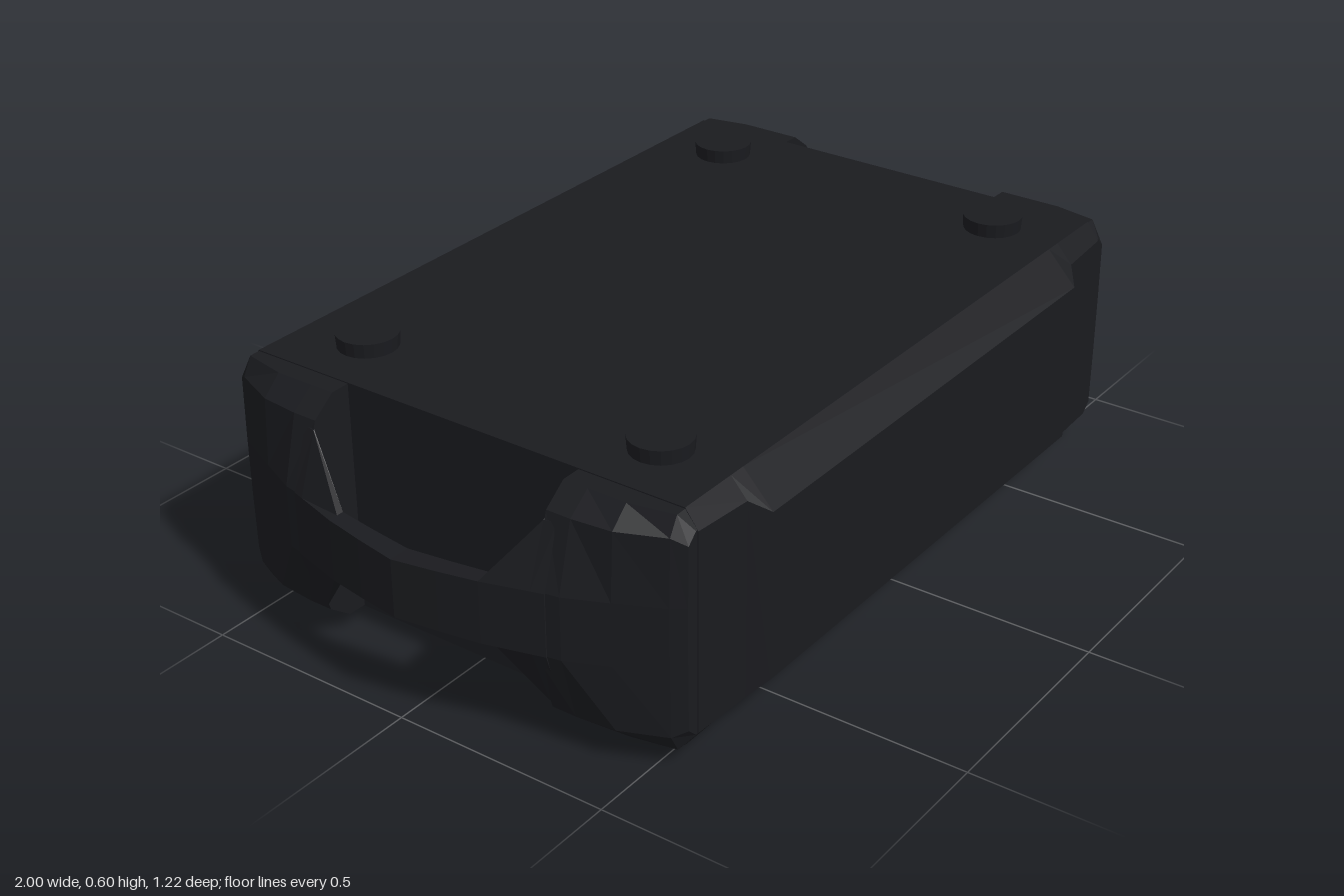
import * as THREE from 'three';

const MID = 0.303; // height of the horizontal symmetry plane
const mat = new THREE.MeshStandardMaterial({ color: 0x1a1b1f, flatShading: true });

// Closed solid through equal-length rings of [x, y, z], wound outward
function loft(rings) {
  const n = rings[0].length, pos = [];
  let volume = 0;
  const a = new THREE.Vector3(), b = new THREE.Vector3(), c = new THREE.Vector3();
  const tri = (p, q, r) => {
    pos.push(...p, ...q, ...r);
    volume += a.set(...p).dot(b.set(...q).cross(c.set(...r)));
  };
  for (let i = 0; i < rings.length - 1; i++) {
    for (let j = 0; j < n; j++) {
      const k = (j + 1) % n, r = rings[i], s = rings[i + 1];
      tri(r[j], r[k], s[k]);
      tri(r[j], s[k], s[j]);
    }
  }
  const first = rings[0], last = rings[rings.length - 1];
  for (let j = 1; j < n - 1; j++) {
    tri(first[0], first[j + 1], first[j]);
    tri(last[0], last[j], last[j + 1]);
  }
  if (volume < 0) {
    for (let t = 0; t < pos.length; t += 9) {
      for (let m = 0; m < 3; m++) {
        [pos[t + 3 + m], pos[t + 6 + m]] = [pos[t + 6 + m], pos[t + 3 + m]];
      }
    }
  }
  const geo = new THREE.BufferGeometry();
  geo.setAttribute('position', new THREE.Float32BufferAttribute(pos, 3));
  geo.computeVertexNormals();
  return geo;
}

// Section across z: [x, half height] pairs, mirrored below the middle
function endSection(z, side, pts) {
  const up = pts.map(([x, h]) => [side * x, MID + h, z]);
  const down = pts.map(([x, h]) => [side * x, MID - h, z]).reverse();
  return [...up, ...down];
}

export function createModel() {
  const group = new THREE.Group();
  const add = (name, geo, x = 0, y = 0, z = 0) => {
    const mesh = new THREE.Mesh(geo, mat);
    mesh.name = name;
    mesh.position.set(x, y, z);
    group.add(mesh);
  };

  // Main case: bevelled section swept along x, stepping in at the corners
  const stations = [ // x, outer z, half height of the side face
    [0.6, 0.61, 0.19], [0.64, 0.578, 0.222], [0.785, 0.57, 0.225],
  ];
  const bodyRing = ([x, z, h]) => [
    [x, MID + 0.265, 0.54], [x, MID + h, z], [x, MID - h, z], [x, MID - 0.265, 0.54],
    [x, MID - 0.265, -0.54], [x, MID - h, -z], [x, MID + h, -z], [x, MID + 0.265, -0.54],
  ];
  const mirrored = stations.map(([x, z, h]) => [-x, z, h]).reverse();
  add('caseBody', loft([...mirrored, ...stations].map(bodyRing)));

  // Corner blocks either side of each handle opening
  const corner = [
    [0.293, [[0.76, 0.263], [0.83, 0.262], [0.883, 0.222], [0.932, 0.071]]],
    [0.35, [[0.76, 0.263], [0.83, 0.262], [0.883, 0.222], [0.922, 0.071]]],
    [0.44, [[0.76, 0.263], [0.83, 0.262], [0.874, 0.222], [0.882, 0.071]]],
    [0.54, [[0.76, 0.263], [0.81, 0.262], [0.832, 0.222], [0.835, 0.071]]],
    [0.568, [[0.76, 0.228], [0.79, 0.227], [0.813, 0.205], [0.815, 0.071]]],
  ];

  // Half of the strap handle, flaring where it meets the corner
  const strap = [
    [0.32, [[0.86, 0.21], [0.886, 0.205], [0.93, 0.071]]],
    [0.292, [[0.888, 0.205], [0.89, 0.203], [0.938, 0.071]]],
    [0.19, [[0.928, 0.07], [0.945, 0.07], [0.967, 0.07]]],
    [0.1, [[0.94, 0.068], [0.962, 0.068], [0.984, 0.068]]],
    [0, [[0.951, 0.066], [0.975, 0.066], [1, 0.066]]],
  ];

  for (const side of [1, -1]) {
    const label = side > 0 ? 'left' : 'right';
    for (const dir of [1, -1]) {
      add(label + (dir > 0 ? 'FrontCorner' : 'BackCorner'),
        loft(corner.map(([z, pts]) => endSection(z * dir, side, pts))));
    }
    const back = strap.slice(0, -1).map(([z, pts]) => [-z, pts]).reverse();
    add(label + 'Handle', loft([...strap, ...back].map(([z, pts]) => endSection(z, side, pts))));
  }

  // Round studs on the lid and smaller feet underneath
  for (const x of [0.635, -0.635]) {
    for (const dir of [1, -1]) {
      add('topStud', new THREE.CylinderGeometry(0.068, 0.065, 0.04, 20), x, 0.58, dir * 0.375);
      add('foot', new THREE.CylinderGeometry(0.045, 0.042, 0.05, 20), x, 0.025, dir * 0.267);
    }
  }
  return group;
}
